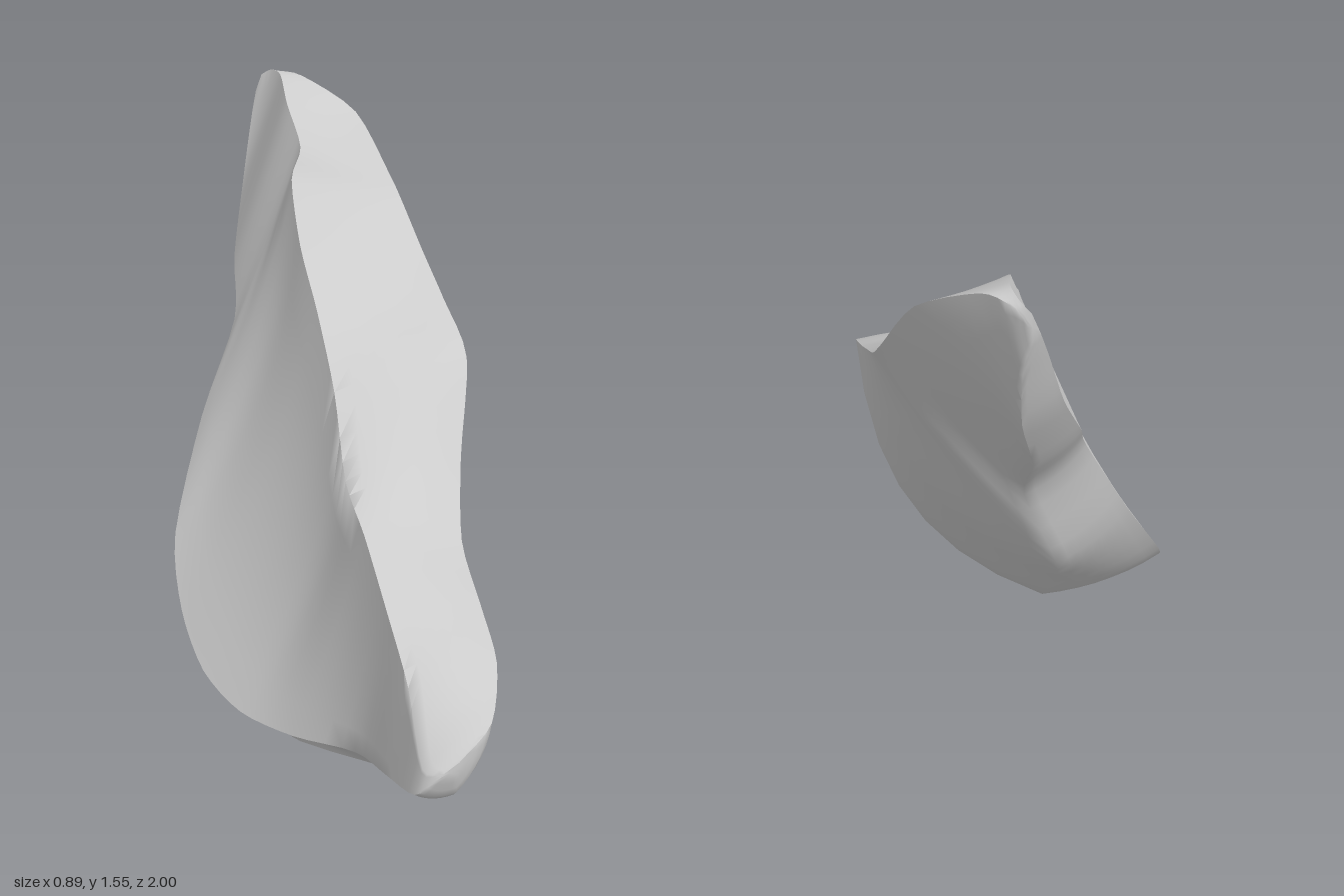
import * as THREE from 'three';
import { toCreasedNormals } from 'three/addons/utils/BufferGeometryUtils.js';

// Stations along z, from the low front tip to the high rear tip
const Z = [1, 0.96, 0.8, 0.62, 0.4, 0.2, 0, -0.2, -0.38, -0.55, -0.62, -0.76, -0.9, -0.97, -1];

// Four long edges of the stone as [x, y] at each station
const ridge = [[-0.21, 0.33], [-0.25, 0.33], [-0.21, 0.46], [-0.18, 0.57], [-0.14, 0.68], [-0.1, 0.74], [-0.04, 0.91],
  [0, 1.07], [0.03, 1.2], [0.08, 1.34], [0.14, 1.41], [0.16, 1.5], [0.2, 1.55], [0.2, 1.55], [0.18, 1.53]];
const leftEdge = [[-0.22, 0.32], [-0.27, 0.26], [-0.27, 0.22], [-0.27, 0.18], [-0.35, 0.12], [-0.42, 0.1], [-0.45, 0.13],
  [-0.435, 0.22], [-0.38, 0.37], [-0.22, 0.65], [-0.08, 0.91], [-0.02, 1.05], [0.07, 1.23], [0.13, 1.4], [0.16, 1.48]];
const keel = [[-0.18, 0.31], [-0.16, 0.23], [-0.18, 0.18], [-0.22, 0.13], [-0.27, 0.06], [-0.28, 0], [-0.17, 0.05],
  [-0.1, 0.14], [-0.08, 0.32], [-0.03, 0.51], [0.08, 0.79], [0.1, 0.97], [0.17, 1.18], [0.19, 1.36], [0.18, 1.46]];
const rightEdge = [[-0.17, 0.35], [-0.06, 0.41], [0.04, 0.47], [0.09, 0.53], [0.15, 0.6], [0.25, 0.74], [0.37, 0.94],
  [0.4, 1.04], [0.42, 1.13], [0.44, 1.22], [0.435, 1.28], [0.385, 1.45], [0.27, 1.54], [0.22, 1.54], [0.19, 1.51]];

// Outward (+) or hollow (-) bow of each long face at each station
const leftFace = [0, 0, 0, 0, -0.02, -0.05, -0.05, -0.05, -0.06, -0.03, 0, 0, 0, 0, 0];
const underside = [0.1, 0.1, 0.1, 0, -0.2, -0.16, 0.05, 0.08, 0.1, 0.08, 0.08, 0.06, 0.05, 0.05, 0.05];
const flank = [0.1, 0.1, 0.12, 0.12, 0.11, 0.11, 0.13, 0.14, 0.11, 0.03, 0.01, 0.02, 0.03, 0.03, 0.03];
const topFace = [0, 0.08, 0.1, 0.05, 0.02, 0.1, 0.05, -0.02, -0.02, -0.02, -0.02, -0.02, 0, 0, 0];

const STEPS = 56; // rings along the body
const SIDE = 7;   // segments on each of the four faces

const edgeCurve = pts => new THREE.CatmullRomCurve3(
  pts.map(([x, y], i) => new THREE.Vector3(x, y, Z[i])), false, 'catmullrom', 0.4);

function sample(list, t) {
  const f = t * (list.length - 1), i = Math.min(Math.floor(f), list.length - 2);
  return THREE.MathUtils.lerp(list[i], list[i + 1], THREE.MathUtils.smoothstep(f - i, 0, 1));
}

function stoneGeometry() {
  const curves = [ridge, leftEdge, keel, rightEdge].map(edgeCurve);
  const faces = [leftFace, underside, flank, topFace];
  const pos = [], index = [], n = SIDE * 4;

  // Four-sided rings with bowed faces
  for (let s = 0; s <= STEPS; s++) {
    const t = s / STEPS;
    const corners = curves.map(c => c.getPoint(t));
    for (let k = 0; k < 4; k++) {
      const a = corners[k], b = corners[(k + 1) % 4], depth = sample(faces[k], t);
      for (let j = 0; j < SIDE; j++) {
        const u = j / SIDE, bow = depth * 4 * u * (1 - u);
        pos.push(a.x + (b.x - a.x) * u + (b.y - a.y) * bow,
          a.y + (b.y - a.y) * u - (b.x - a.x) * bow, a.z);
      }
    }
  }
  for (let s = 0; s < STEPS; s++) {
    for (let j = 0; j < n; j++) {
      const a = s * n + j, b = s * n + (j + 1) % n;
      index.push(a, a + n, b, b, a + n, b + n);
    }
  }

  // Closed tips
  for (const s of [0, STEPS]) {
    const mid = new THREE.Vector3();
    curves.forEach(c => mid.addScaledVector(c.getPoint(s / STEPS), 0.25));
    const m = pos.length / 3;
    pos.push(mid.x, mid.y, mid.z);
    for (let j = 0; j < n; j++) {
      const a = s * n + j, b = s * n + (j + 1) % n;
      index.push(m, ...(s === 0 ? [a, b] : [b, a]));
    }
  }

  const geo = new THREE.BufferGeometry();
  geo.setAttribute('position', new THREE.Float32BufferAttribute(pos, 3));
  geo.setIndex(index);
  return toCreasedNormals(geo, 1.1);
}

export function createModel() {
  const group = new THREE.Group();
  group.name = 'stoneFlake';
  const stone = new THREE.Mesh(stoneGeometry(), new THREE.MeshStandardMaterial({ color: 0xcccccc }));
  stone.name = 'stoneBody';
  group.add(stone);
  return group;
}
